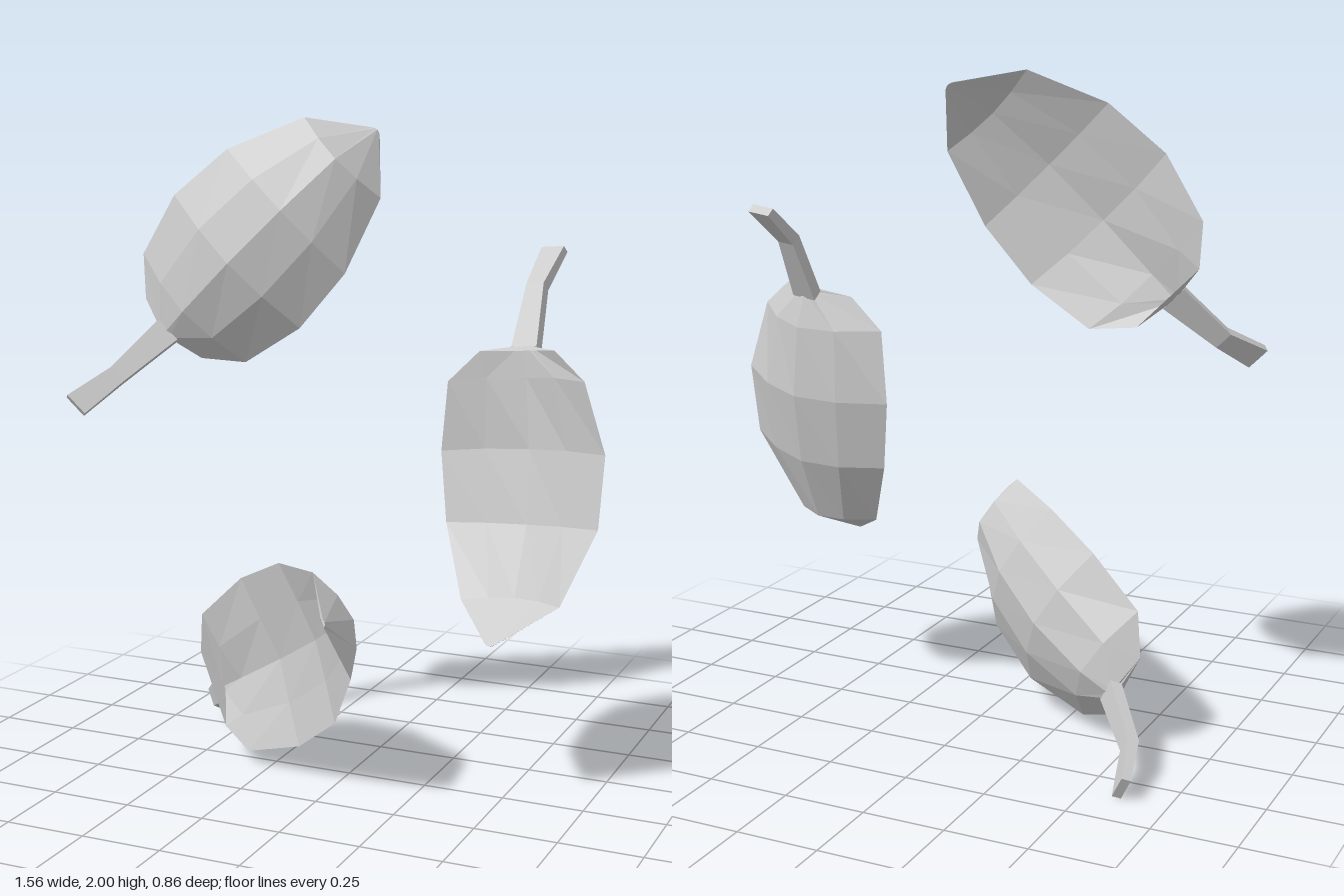
import * as THREE from 'three';

const material = new THREE.MeshStandardMaterial({ color: 0xcccccc, flatShading: true, side: THREE.DoubleSide });

// Closed skin over equal rings of points, ordered along +z, with capped ends.
function loftGeometry(rings) {
  const n = rings[0].length, end = (rings.length - 1) * n, index = [];
  for (let r = 0; r < end; r += n) {
    for (let c = 0; c < n; c++) {
      const a = r + c, b = r + (c + 1) % n;
      index.push(a, b, a + n, b, b + n, a + n);
    }
  }
  for (let c = 1; c < n - 1; c++) index.push(0, c + 1, c, end, end + c, end + c + 1);
  const g = new THREE.BufferGeometry();
  g.setAttribute('position', new THREE.Float32BufferAttribute(rings.flat(2), 3));
  g.setIndex(index);
  g.computeVertexNormals();
  return g;
}

// Local frame of a leaf: x across, y towards the hollow side, z from stalk joint to tip.
// Thick cupped blade: rounded outer side, shallow inner side with a midrib crease
function bladeGeometry() {
  // [half width, edge y, edge z, outer rib y, rib z, inner rib y, inner flank y]
  const profile = [
    [0.228, 0.035, 0.115, -0.08, 0.09, -0.03, 0.008],
    [0.275, -0.05, 0.31, -0.155, 0.29, -0.095, -0.072],
    [0.255, -0.095, 0.52, -0.185, 0.51, -0.13, -0.115],
    [0.165, -0.085, 0.75, -0.168, 0.73, -0.112, -0.105],
    [0.015, 0, 0.88, -0.006, 0.885, 0.004, 0.003],
  ];
  // two lobes either side of the stalk joint
  const rings = [[
    [-0.125, 0.045, 0.025], [-0.02, -0.015, 0], [0, -0.02, 0], [0.02, -0.015, 0],
    [0.125, 0.045, 0.025], [0.015, 0.003, 0], [0, 0, 0], [-0.015, 0.003, 0],
  ]];
  for (const [w, edgeY, edgeZ, outerY, ribZ, innerY, flankY] of profile) {
    const outerFlankY = outerY + (edgeY - outerY) * 0.3;
    const flankZ = ribZ + (edgeZ - ribZ) * 0.3;
    rings.push([
      [-w, edgeY, edgeZ], [-w / 2, outerFlankY, flankZ], [0, outerY, ribZ], [w / 2, outerFlankY, flankZ],
      [w, edgeY, edgeZ], [w / 2, flankY, flankZ], [0, innerY, ribZ], [-w / 2, flankY, flankZ],
    ]);
  }
  return loftGeometry(rings);
}

// Bent four-sided stalk
function stalkGeometry() {
  // [x, y, z, half width, half thickness]
  const stations = [
    [-0.012, -0.128, -0.33, 0.038, 0.014],
    [-0.004, -0.038, -0.19, 0.029, 0.018],
    [0, -0.01, 0.01, 0.042, 0.018],
  ];
  return loftGeometry(stations.map(([x, y, z, w, h]) =>
    [[-1, -1], [1, -1], [1, 1], [-1, 1]].map(([sx, sy]) => [x + sx * w, y + sy * h * 0.9, z - sy * h * 0.4])));
}

export function createModel() {
  const model = new THREE.Group();
  model.name = 'leaves';
  const blade = bladeGeometry(), stalk = stalkGeometry();

  // Each leaf: stalk joint, tip, and direction across the blade
  const placements = [
    ['sideLeaf', [0.485, 1.34, -0.175], [0.5, 0.53, 0.135], [0.98, 0.08, 0.19]],
    ['upperLeaf', [-0.575, 1.35, 0.08], [0.003, 1.97, -0.235], [0.71, -0.7, -0.12]],
    ['lowerLeaf', [-0.48, 0.19, -0.085], [0.105, 0.615, 0.425], [-0.45, 0.86, -0.2]],
  ];
  for (const [name, joint, tip, across] of placements) {
    const origin = new THREE.Vector3(...joint);
    const along = new THREE.Vector3(...tip).sub(origin).normalize();
    const up = along.clone().cross(new THREE.Vector3(...across)).normalize();
    const side = up.clone().cross(along);
    const leaf = new THREE.Group();
    leaf.name = name;
    leaf.quaternion.setFromRotationMatrix(new THREE.Matrix4().makeBasis(side, up, along));
    leaf.position.copy(origin);
    for (const [part, geometry] of [['blade', blade], ['stalk', stalk]]) {
      const mesh = new THREE.Mesh(geometry, material);
      mesh.name = part;
      leaf.add(mesh);
    }
    model.add(leaf);
  }
  return model;
}
